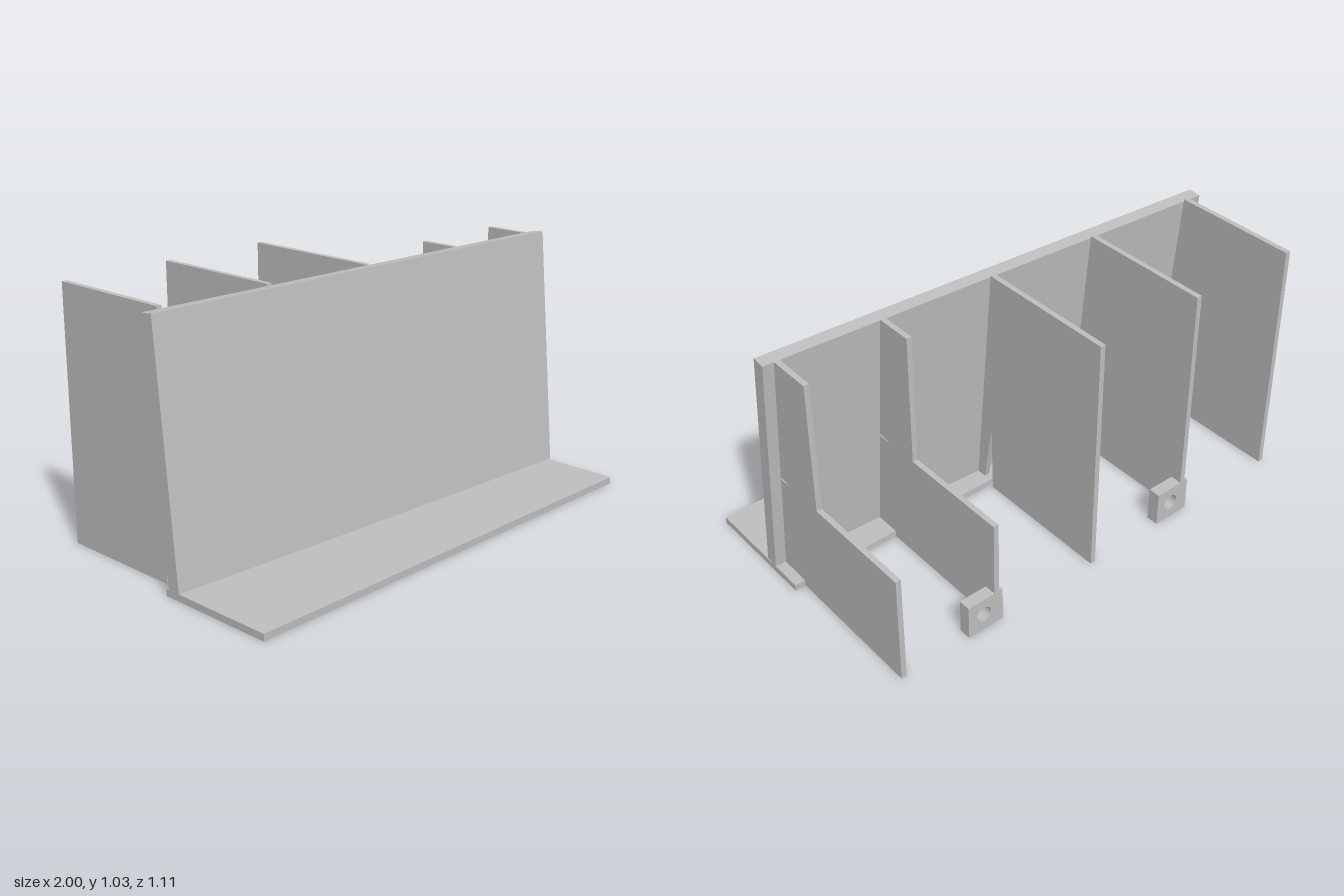
import * as THREE from 'three';

export function createModel() {
  const group = new THREE.Group();
  const grey = new THREE.MeshStandardMaterial({ color: 0xc0c0c0 });
  grey.name = 'light grey';

  const add = (name, geometry) => {
    const mesh = new THREE.Mesh(geometry, grey);
    mesh.name = name;
    group.add(mesh);
  };

  // Rear surface of the leaning, slightly turned panel
  const panelBack = (x, y) => 0.131 + 0.06 * x - 0.09 * y;

  // Flat base plate
  add('basePlate', new THREE.BoxGeometry(2, 0.028, 0.5).translate(0, 0.014, 0.305));

  // Leaning front panel: a box skewed back and turned
  const panel = new THREE.BoxGeometry(2, 1, 1).toNonIndexed();
  const p = panel.attributes.position;
  for (let i = 0; i < p.count; i++) {
    const x = p.getX(i), front = p.getZ(i) > 0 ? 1 : 0;
    const y = (p.getY(i) > 0 ? 1.017 : 0.024) + 0.005 * x + 0.005 * front;
    p.setXYZ(i, x, y, panelBack(x, y) + 0.054 * front);
  }
  panel.computeVertexNormals();
  add('frontPanel', panel);

  // Rib profiles are drawn in (z, y) and extruded across x
  const thickness = 0.022, rear = -0.555, top = 1.023;
  const rib = (name, x, points) => {
    const shape = new THREE.Shape(points.map(([z, y]) => new THREE.Vector2(z, y)));
    const geometry = new THREE.ExtrudeGeometry(shape, { depth: thickness, bevelEnabled: false });
    add(name, geometry.rotateY(-Math.PI / 2).translate(x + thickness / 2, 0, 0));
  };

  // Full-height ribs with a tapering slit at the foot
  for (const x of [-0.925, -0.443, 0.035]) {
    const foot = panelBack(x, 0);
    rib('tallRib', x, [
      [rear, 0], [foot - 0.095, 0], [foot - 0.09, 0.3], [foot - 0.04, 0.005],
      [foot, 0.005], [panelBack(x, top), top], [rear, top],
    ]);
  }

  // Stepped ribs with a small slit against the panel
  for (const x of [0.518, 0.945]) {
    const slit = panelBack(x, 0.475);
    rib('steppedRib', x, [
      [rear, 0], [panelBack(x, 0), 0.002], [slit, 0.468], [slit - 0.062, 0.473],
      [slit, 0.48], [panelBack(x, top), top], [-0.085, top], [-0.085, 0.47], [rear, 0.47],
    ]);
  }

  // Drilled mounting blocks at the rear feet of two ribs
  for (const x of [-0.39, 0.57]) {
    const block = new THREE.Shape([
      new THREE.Vector2(-0.08, 0), new THREE.Vector2(0.08, 0),
      new THREE.Vector2(0.08, 0.147), new THREE.Vector2(-0.08, 0.147),
    ]);
    block.holes.push(new THREE.Path().absarc(0.01, 0.074, 0.033, 0, Math.PI * 2, true));
    const geometry = new THREE.ExtrudeGeometry(block, { depth: 0.05, bevelEnabled: false, curveSegments: 24 });
    add('mountingBlock', geometry.translate(x, 0, -0.556));
  }

  return group;
}
